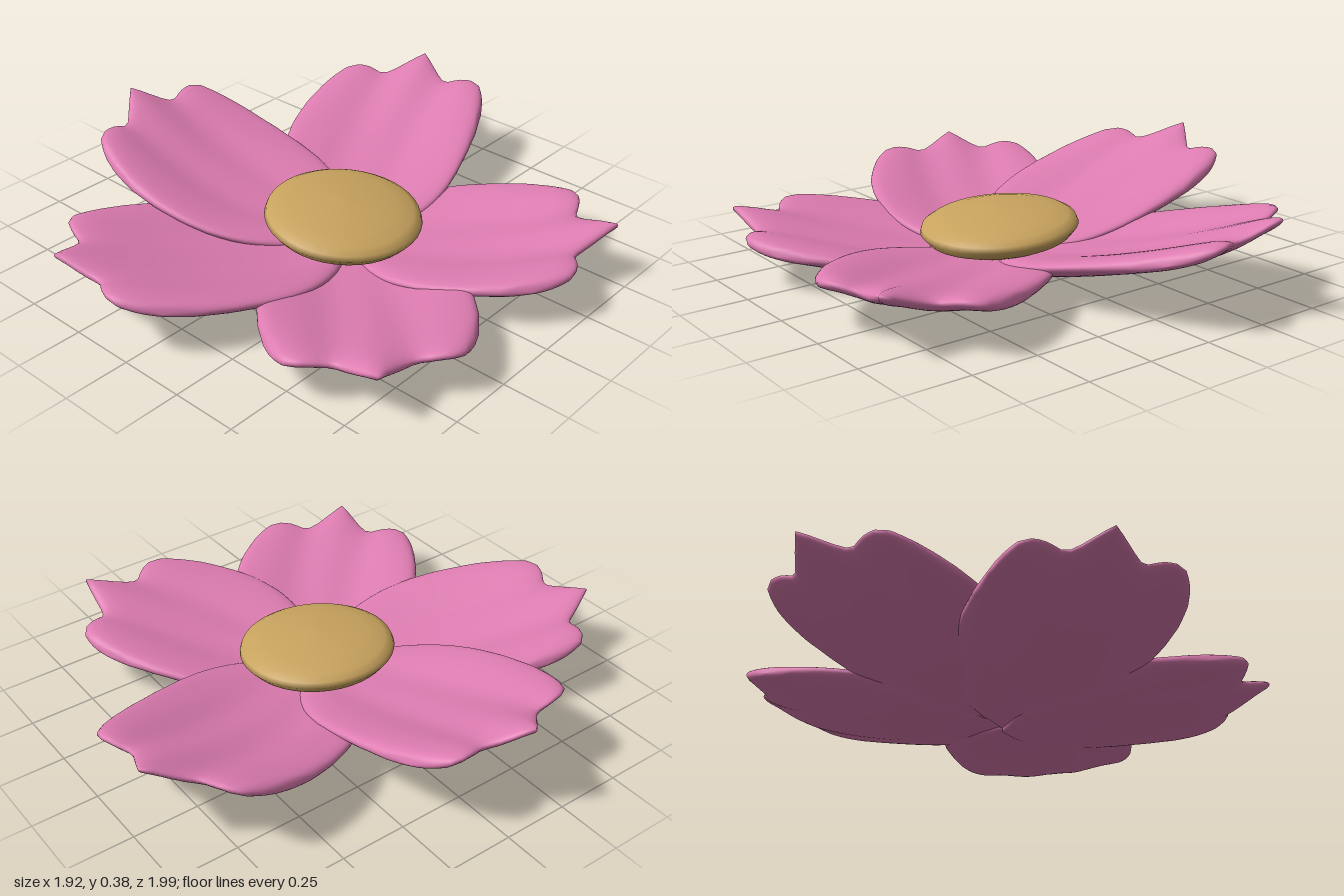
import * as THREE from 'three';
import { mergeVertices } from 'three/addons/utils/BufferGeometryUtils.js';

const CX = 0.09; // flower heart, slightly off the bounding centre

// piecewise-linear lookup in a list of [key, value]
function lookup(table, k) {
  for (let i = 1; i < table.length; i++) {
    const [k0, v0] = table[i - 1], [k1, v1] = table[i];
    if (k <= k1) return v0 + (v1 - v0) * (k - k0) / (k1 - k0);
  }
  return table[table.length - 1][1];
}

// half width along the petal, and reach across it (three-toothed end)
const WIDTH = [[0, 0], [0.05, 0.1], [0.12, 0.185], [0.2, 0.245], [0.3, 0.3], [0.42, 0.34],
  [0.55, 0.362], [0.7, 0.372], [0.85, 0.37], [1, 0.352]];
const REACH = [[0, 1.065], [0.17, 1.015], [0.34, 0.962], [0.42, 0.952], [0.55, 0.962], [0.7, 0.962],
  [0.83, 0.94], [0.93, 0.88], [1, 0.8]];

// closed, thick petal lofted from flat oval cross-sections, along +x
function petalGeometry({ length, tooth, root, tip, bow }) {
  const rows = 28, ring = 72, pos = [], index = [];
  for (let i = 0; i <= rows; i++) {
    const s = Math.sin(i / rows * Math.PI / 2);
    for (let j = 0; j < ring; j++) {
      const a = j / ring * Math.PI * 2;
      const t = -Math.cos(a), t2 = t * t;
      const reach = lookup(REACH, Math.abs(t)) * length / 1.065;
      const u = s * (reach + tooth * Math.max(0, 1 - Math.abs(t) / 0.3));
      const v = t * lookup(WIDTH, s) + bow * Math.sin(Math.PI * Math.min(1, u / length));
      // full rounded rim, sides cupped upwards most at mid length
      const round = Math.sin(a) * Math.sqrt((1 + t2) * (1 + t2 * t2) * Math.max(0, 1 - s ** 14));
      const half = (0.034 + 0.006 * t2 * s) * round;
      const lift = root + (tip - root) * (u / length) ** 2;
      const cup = 0.055 * t2 * Math.sin(Math.PI * s * 0.9);
      const groove = 0.008 * s * Math.cos(3 * Math.PI * t) * (1 - t2);
      pos.push(u, lift + cup + groove + half, v);
    }
  }
  for (let i = 0; i < rows; i++) {
    for (let j = 0; j < ring; j++) {
      const k = (j + 1) % ring;
      const p = i * ring + j, q = i * ring + k;
      index.push(p, q, p + ring, q, q + ring, p + ring);
    }
  }
  let geo = new THREE.BufferGeometry();
  geo.setAttribute('position', new THREE.Float32BufferAttribute(pos, 3));
  geo.setIndex(index);
  geo = mergeVertices(geo, 1e-5);
  geo.computeVertexNormals();
  return geo;
}

export function createModel() {
  const flower = new THREE.Group();
  flower.name = 'flower';
  const pink = new THREE.MeshStandardMaterial({ color: 0xdd7cb1 });
  pink.name = 'petal pink';
  const gold = new THREE.MeshStandardMaterial({ color: 0xc8a35e });
  gold.name = 'centre gold';

  // five petals; angle runs from +x towards +z
  const petals = [
    { name: 'leftFrontPetal', angle: 43, length: 0.985, tooth: 0.03, root: 0.035, tip: 0.18, bow: -0.02 },
    { name: 'frontPetal', angle: 114.4, length: 1.085, tooth: 0, root: 0.05, tip: 0.255, bow: -0.03 },
    { name: 'sidePetal', angle: 173.5, length: 1.06, tooth: 0, root: 0.068, tip: 0.37, bow: -0.045 },
    { name: 'backPetal', angle: 247.2, length: 1.08, tooth: 0, root: 0.06, tip: 0.34, bow: -0.05 },
    { name: 'leftBackPetal', angle: 328.2, length: 0.945, tooth: 0.045, root: 0.045, tip: 0.2, bow: 0.025 },
  ];
  for (const p of petals) {
    const mesh = new THREE.Mesh(petalGeometry(p), pink);
    mesh.name = p.name;
    mesh.position.x = CX;
    mesh.rotation.y = -THREE.MathUtils.degToRad(p.angle);
    flower.add(mesh);
  }

  // domed centre, leaning a little towards +x
  const profile = [[0, -0.07], [0.2, -0.06], [0.27, -0.03], [0.295, 0], [0.288, 0.02], [0.26, 0.037],
    [0.2, 0.053], [0.1, 0.067], [0, 0.072]].map(([r, y]) => new THREE.Vector2(r, y));
  const centre = new THREE.Mesh(new THREE.LatheGeometry(profile, 40), gold);
  centre.name = 'flowerCentre';
  centre.position.set(CX - 0.003, 0.16, 0.007);
  centre.rotation.z = -0.08;
  flower.add(centre);

  return flower;
}
